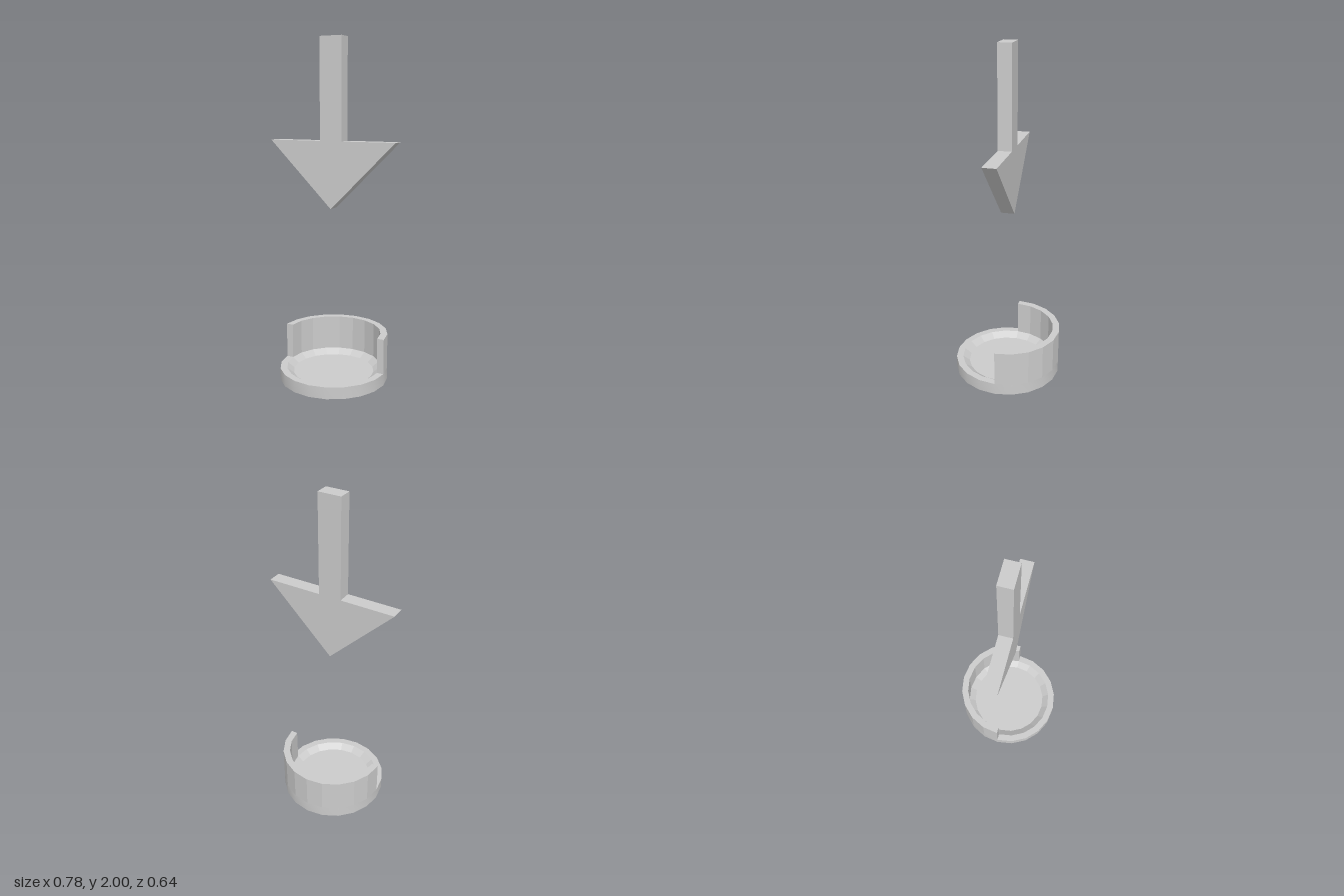
import * as THREE from 'three';
import { toCreasedNormals } from 'three/addons/utils/BufferGeometryUtils.js';

const SIDES = 20;
const OUTER = 0.322, INNER = 0.281, FLOOR = 0.241;
const BASE_TOP = 0.07, DISH_DEPTH = 0.03, WALL_TOP = 0.28;

const smooth = new THREE.MeshStandardMaterial({ color: 0xcccccc });
const faceted = new THREE.MeshStandardMaterial({ color: 0xcccccc, flatShading: true });

const vectors = (pairs) => pairs.map(([x, y]) => new THREE.Vector2(x, y));

function addPart(group, name, geometry, material) {
  const mesh = new THREE.Mesh(geometry, material);
  mesh.name = name;
  group.add(mesh);
  return mesh;
}

function extrude(points, depth) {
  return new THREE.ExtrudeGeometry(new THREE.Shape(points), { depth, bevelEnabled: false });
}

// Points along half a circle, from +x round to -x
function halfCircle(radius) {
  const points = [];
  for (let i = 0; i <= SIDES / 2; i++) {
    const a = (i / SIDES) * Math.PI * 2;
    points.push(new THREE.Vector2(radius * Math.cos(a), radius * Math.sin(a)));
  }
  return points;
}

export function createModel() {
  const model = new THREE.Group();
  model.name = 'arrowOverCup';

  // Round base: underside, edge and flat rim
  const base = new THREE.LatheGeometry(
    vectors([[0, 0], [OUTER, 0], [OUTER, BASE_TOP], [INNER, BASE_TOP]]), SIDES);
  addPart(model, 'base', toCreasedNormals(base, 0.5), smooth);

  // Shallow dish with sloping sides sunk into the base
  const floorY = BASE_TOP - DISH_DEPTH;
  const dish = new THREE.LatheGeometry(
    vectors([[INNER, BASE_TOP], [FLOOR, floorY], [0, floorY]]), SIDES);
  addPart(model, 'dish', dish, faceted);

  // Half-ring wall round the back
  const ring = [...halfCircle(OUTER), ...halfCircle(INNER).reverse()];
  const wall = extrude(ring, WALL_TOP - BASE_TOP);
  wall.rotateX(-Math.PI / 2);
  addPart(model, 'backWall', wall, faceted).position.y = BASE_TOP;

  // Floating arrow pointing down at the dish
  const arrow = extrude(vectors([
    [0, 1.03], [0.39, 1.42], [0.068, 1.42], [0.068, 2],
    [-0.068, 2], [-0.068, 1.42], [-0.39, 1.42],
  ]), 0.08);
  addPart(model, 'arrow', arrow, faceted).position.z = -0.04;

  return model;
}
